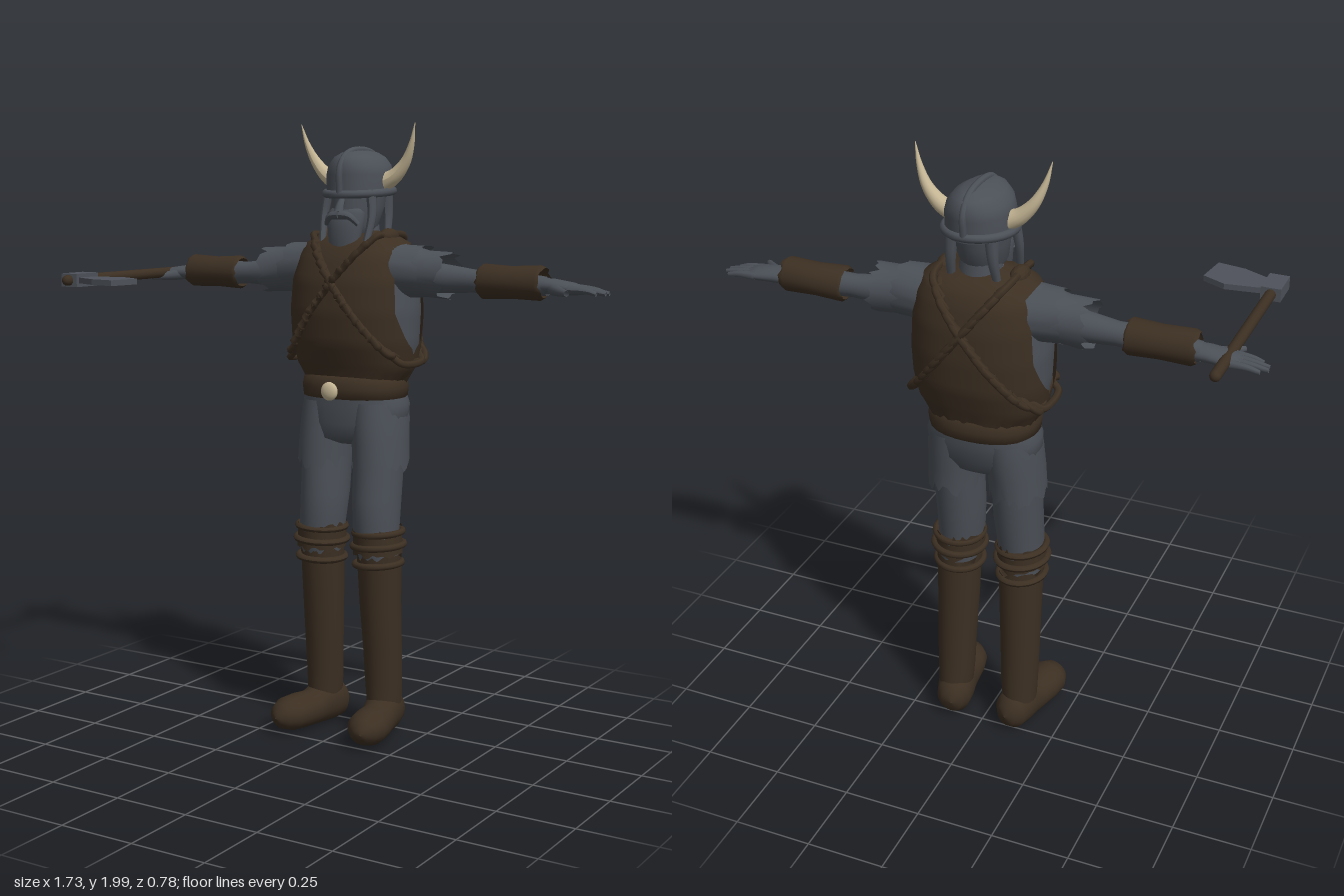
import * as THREE from 'three';

const mat = (name, color) => new THREE.MeshStandardMaterial({ name, color, side: THREE.DoubleSide });

let seed = 7;
const rnd = () => (seed = (seed * 16807) % 2147483647) / 2147483647;

// Rings [y, cx, cz, rx, rz], bottom to top; exponent n squares the section.
// arc(y) limits the angle; jag0 / jag1 tear the lower / upper edge.
function loft(rings, { sides = 28, n = 2, arc = null, jag0 = 0, jag1 = 0 } = {}) {
  const pos = [], idx = [], cols = arc ? sides + 1 : sides;
  rings.forEach(([y, cx, cz, rx, rz], i) => {
    const [a0, a1] = arc ? arc(y) : [0, Math.PI * 2];
    for (let j = 0; j < cols; j++) {
      const a = a0 + (a1 - a0) * j / sides, c = Math.cos(a), s = Math.sin(a);
      const k = Math.pow(Math.abs(c) ** n + Math.abs(s) ** n, -1 / n);
      let d = 0;
      if (i === 0) d = -rnd() * jag0;
      if (i === rings.length - 1) d = rnd() * jag1;
      pos.push(cx + rx * c * k, y + d, cz + rz * s * k);
    }
  });
  for (let i = 0; i < rings.length - 1; i++) {
    for (let j = 0; j < sides; j++) {
      const a = i * cols + j, b = i * cols + (j + 1) % cols;
      idx.push(a, a + cols, b, b, a + cols, b + cols);
    }
  }
  const g = new THREE.BufferGeometry();
  g.setAttribute('position', new THREE.Float32BufferAttribute(pos, 3));
  g.setIndex(idx);
  g.computeVertexNormals();
  return g;
}

// Arm pieces: the loft axis becomes +x, [x, y, z, ry, rz]
const armLoft = (rings, opt) =>
  loft(rings.map(([x, y, z, ry, rz]) => [x, -y, z, ry, rz]), opt).rotateZ(-Math.PI / 2);

const v = (x, y, z) => new THREE.Vector3(x, y, z);

function mirrored(geo) {
  const g = geo.clone().scale(-1, 1, 1), ix = g.index.array;
  for (let i = 0; i < ix.length; i += 3) [ix[i], ix[i + 1]] = [ix[i + 1], ix[i]];
  g.computeVertexNormals();
  return g;
}

// Tapered round limb along a curve
function taper(points, r0, r1, sides = 12, segs = 16) {
  const curve = new THREE.CatmullRomCurve3(points);
  const g = new THREE.TubeGeometry(curve, segs, 1, sides, false), p = g.attributes.position;
  for (let i = 0; i <= segs; i++) {
    const t = i / segs, c = curve.getPointAt(t), r = r0 + (r1 - r0) * t;
    for (let j = 0; j <= sides; j++) {
      const k = i * (sides + 1) + j, q = v(0, 0, 0).fromBufferAttribute(p, k).sub(c).multiplyScalar(r).add(c);
      p.setXYZ(k, q.x, q.y, q.z);
    }
  }
  g.computeVertexNormals();
  return g;
}

// Torso profile: y, rx, front z, back z
const TORSO = [
  [1.18, 0.165, -0.09, -0.33], [1.215, 0.2, -0.075, -0.345], [1.3, 0.216, -0.045, -0.37],
  [1.4, 0.22, -0.036, -0.378], [1.5, 0.213, -0.045, -0.375], [1.57, 0.196, -0.07, -0.36],
  [1.615, 0.175, -0.1, -0.335], [1.645, 0.12, -0.135, -0.295], [1.655, 0.05, -0.18, -0.25],
];
function torsoRing(y) {
  let i = 0;
  while (i < TORSO.length - 2 && y > TORSO[i + 1][0]) i++;
  const A = TORSO[i], B = TORSO[i + 1], t = THREE.MathUtils.clamp((y - A[0]) / (B[0] - A[0]), 0, 1);
  const [rx, f, b] = [1, 2, 3].map(k => A[k] + (B[k] - A[k]) * t);
  return [y, 0, (f + b) / 2, rx, (f - b) / 2];
}

export function createModel() {
  seed = 7;
  const cloth = mat('slate grey', 0x4b5057);
  const leather = mat('dark leather', 0x3c2f22);
  const steel = mat('axe steel', 0x4e525a);
  const bone = mat('horn ivory', 0xc4b594);
  const root = new THREE.Group();
  root.name = 'hornedWarrior';
  const add = (name, geo, m, parent = root) => {
    const mesh = new THREE.Mesh(geo, m);
    mesh.name = name;
    parent.add(mesh);
    return mesh;
  };
  const pair = (name, geo, m) => {
    add(name + 'Left', geo, m);
    add(name + 'Right', mirrored(geo), m);
  };

  // Torso and leather vest with open sides
  const ys = [...Array(25)].map((_, i) => 1.185 + i * 0.0195);
  const rows = ys.map(torsoRing);
  add('torso', loft(rows.map(([y, cx, cz, rx, rz]) => [y, cx, cz, rx * 0.96, rz * 0.96]), { n: 2.3 }), cloth);
  const gap = y => 0.55 * Math.sqrt(THREE.MathUtils.clamp((y - 1.28) / 0.12, 0, 1)) * (y > 1.6 ? 0 : 1);
  add('vestFront', loft(rows, { n: 2.3, sides: 32, jag0: 0.02, arc: y => [gap(y), Math.PI - gap(y)] }), leather);
  add('vestBack', loft(rows, { n: 2.3, sides: 32, jag0: 0.02, arc: y => [Math.PI + gap(y), Math.PI * 2 - gap(y)] }), leather);

  // Twisted straps crossing on chest and back
  for (const s of [1, -1]) {
    for (const phase of [0, Math.PI]) {
      const pts = [], N = 70;
      for (let i = 0; i < N; i++) {
        const u = i / N * 2, front = u < 1, t = front ? u : 2 - u;
        const y = 1.64 - 0.4 * t, [, , cz, rx, rz] = torsoRing(y);
        const x = Math.max(-rx, 0.115 - 0.315 * t);
        const z = rz * Math.pow(Math.max(0, 1 - Math.abs(x / rx) ** 2.3), 1 / 2.3);
        const w = 0.011 * Math.sin(i * 1.35 + phase), o = 0.006 + 0.006 * Math.cos(i * 1.35 + phase);
        pts.push(v(s * (x + w - (t > 0.9 ? o : 0)), y + w, cz + (front ? 1 : -1) * (z + o)));
      }
      add('crossStrap', new THREE.TubeGeometry(new THREE.CatmullRomCurve3(pts, true), 210, 0.012, 6, true), leather);
    }
  }
  pair('shoulderKnot', new THREE.IcosahedronGeometry(0.03, 2).scale(0.9, 0.9, 1.6).translate(0.115, 1.635, -0.21)
    .setIndex([...Array(20 * 9 * 3).keys()]), leather);

  // Belt and buckle
  add('belt', loft([[1.12, 0, -0.2, 0.155, 0.12], [1.123, 0, -0.2, 0.172, 0.138], [1.155, 0, -0.2, 0.176, 0.141],
    [1.185, 0, -0.2, 0.17, 0.135], [1.195, 0, -0.2, 0.15, 0.115]], { n: 2.3 }), leather);
  add('buckle', new THREE.SphereGeometry(0.03, 20, 14).scale(1, 1, 0.5).translate(-0.01, 1.148, -0.054), bone);

  // Trousers: hips, ragged shorts and inner legs
  add('hips', loft([[0.97, 0, -0.19, 0.04, 0.06], [0.99, 0, -0.19, 0.13, 0.1], [1.04, 0, -0.2, 0.178, 0.12],
    [1.1, 0, -0.205, 0.18, 0.127], [1.14, 0, -0.205, 0.165, 0.127]], { n: 2.4 }), cloth);
  pair('raggedShorts', loft([[0.925, 0.104, -0.188, 0.085, 0.112], [0.98, 0.1, -0.192, 0.085, 0.115],
    [1.05, 0.094, -0.2, 0.086, 0.12], [1.11, 0.088, -0.205, 0.085, 0.12]], { jag0: 0.045, sides: 36 }), cloth);
  pair('trouserLeg', loft([[0.6, 0.108, -0.168, 0.064, 0.07], [0.7, 0.102, -0.163, 0.073, 0.085],
    [0.8, 0.098, -0.173, 0.076, 0.094], [0.95, 0.098, -0.188, 0.076, 0.1]]), cloth);

  // Boots with torn cuffs and knee bands
  pair('bootShaft', loft([[0.1, 0.115, -0.2, 0.055, 0.065], [0.18, 0.113, -0.197, 0.061, 0.062],
    [0.3, 0.112, -0.19, 0.064, 0.065], [0.45, 0.109, -0.18, 0.068, 0.07], [0.59, 0.108, -0.172, 0.072, 0.076]],
    { jag1: 0.03 }), leather);
  pair('bootCuff', loft([[0.63, 0.108, -0.165, 0.079, 0.086], [0.655, 0.106, -0.165, 0.078, 0.087],
    [0.67, 0.105, -0.165, 0.077, 0.089]], { jag0: 0.025, jag1: 0.04, sides: 36 }), leather);
  for (const [y, r] of [[0.582, 0.074], [0.643, 0.081], [0.685, 0.076]]) {
    pair('kneeBand', new THREE.TorusGeometry(r, 0.011, 8, 28).rotateX(Math.PI / 2).scale(1, 1, 1.09)
      .rotateZ(0.05).translate(0.108, y, -0.167), leather);
  }
  // Shoe rings run heel to toe; the third value is minus the height
  const shoe = loft([[-0.08, 0, -0.07, 0.002, 0.002], [-0.07, 0, -0.07, 0.035, 0.04], [-0.045, 0, -0.072, 0.055, 0.064],
    [0, 0, -0.078, 0.062, 0.074], [0.04, 0, -0.075, 0.06, 0.071], [0.085, 0, -0.064, 0.06, 0.058],
    [0.14, 0, -0.066, 0.067, 0.058], [0.19, 0, -0.066, 0.065, 0.055], [0.225, 0, -0.065, 0.047, 0.042],
    [0.245, 0, -0.063, 0.022, 0.02], [0.25, 0, -0.063, 0.002, 0.002]]).rotateX(Math.PI / 2);
  pair('shoe', shoe.rotateY(0.2).translate(0.112, 0, -0.21), leather);

  // Arms: torn sleeve, upper arm, bracer
  pair('sleeve', armLoft([[0.15, 1.52, -0.21, 0.095, 0.09], [0.2, 1.527, -0.21, 0.083, 0.085],
    [0.26, 1.522, -0.21, 0.073, 0.073], [0.315, 1.518, -0.21, 0.074, 0.08]], { jag1: 0.04, sides: 32 }), cloth);
  pair('sleeveLayer', armLoft([[0.16, 1.53, -0.21, 0.082, 0.095], [0.23, 1.528, -0.21, 0.081, 0.08]],
    { jag1: 0.04, sides: 32 }), cloth);
  pair('arm', armLoft([[0.2, 1.515, -0.21, 0.055, 0.055], [0.34, 1.508, -0.21, 0.044, 0.045],
    [0.42, 1.505, -0.21, 0.036, 0.037], [0.55, 1.5, -0.21, 0.042, 0.04], [0.67, 1.497, -0.212, 0.028, 0.036]]), cloth);
  pair('bracer', armLoft([[0.452, 1.505, -0.21, 0.047, 0.05], [0.458, 1.505, -0.21, 0.055, 0.058],
    [0.55, 1.505, -0.211, 0.05, 0.055], [0.645, 1.506, -0.212, 0.054, 0.054], [0.652, 1.506, -0.212, 0.046, 0.046]],
    { jag0: 0.008, jag1: 0.012 }), leather);

  // Hands
  pair('palm', armLoft([[0.64, 1.497, -0.212, 0.026, 0.034], [0.69, 1.497, -0.212, 0.024, 0.04],
    [0.75, 1.492, -0.212, 0.02, 0.044], [0.785, 1.488, -0.212, 0.012, 0.04], [0.795, 1.487, -0.212, 0.002, 0.03]]), cloth);
  [0.845, 0.865, 0.862, 0.84].forEach((tip, i) => {
    const z = -0.243 + i * 0.021;
    pair('finger', taper([v(0.75, 1.492, z), v(0.81, 1.489, z), v(tip, 1.481, z)], 0.014, 0.007, 8, 8), cloth);
  });
  pair('thumb', taper([v(0.69, 1.492, -0.195), v(0.735, 1.486, -0.155), v(0.77, 1.484, -0.122)], 0.02, 0.009, 8, 8), cloth);

  // Neck, head, beard and braids
  add('neck', new THREE.CylinderGeometry(0.058, 0.075, 0.16, 20).translate(0, 1.63, -0.225), cloth);
  add('head', loft([[1.61, 0, -0.19, 0.015, 0.03], [1.63, 0, -0.19, 0.045, 0.065], [1.67, 0, -0.2, 0.068, 0.085],
    [1.73, 0, -0.213, 0.08, 0.1], [1.8, 0, -0.222, 0.085, 0.105]]), cloth);
  add('beard', loft([[1.575, 0, -0.115, 0.035, 0.012], [1.6, 0, -0.122, 0.052, 0.028], [1.66, 0, -0.135, 0.06, 0.043],
    [1.71, 0, -0.14, 0.066, 0.04], [1.725, 0, -0.14, 0.05, 0.02]], { jag0: 0.02 }), cloth);
  pair('moustache', taper([v(0.002, 1.705, -0.098), v(0.035, 1.7, -0.1), v(0.058, 1.675, -0.115)], 0.015, 0.008, 8, 8), cloth);
  add('nose', taper([v(0, 1.755, -0.115), v(0, 1.73, -0.1), v(0, 1.712, -0.094)], 0.009, 0.017, 8, 6), cloth);
  pair('braid', taper([v(0.078, 1.78, -0.16), v(0.088, 1.7, -0.15), v(0.08, 1.61, -0.125)], 0.017, 0.011, 8), cloth);
  pair('backHair', taper([v(0.06, 1.78, -0.29), v(0.066, 1.7, -0.29), v(0.072, 1.63, -0.275)], 0.022, 0.012, 8), cloth);

  // Helmet with brim, ridge and horns
  add('helmetDome', loft([[1.765, 0, -0.222, 0.1, 0.123], [1.83, 0, -0.224, 0.099, 0.126], [1.86, 0, -0.225, 0.09, 0.126],
    [1.885, 0, -0.225, 0.069, 0.112], [1.9, 0, -0.226, 0.042, 0.085], [1.908, 0, -0.228, 0.002, 0.02]]), cloth);
  add('helmetBrim', new THREE.TorusGeometry(0.103, 0.012, 10, 36).rotateX(Math.PI / 2).scale(1, 1.1, 1.18)
    .rotateX(0.06).translate(0, 1.775, -0.222), cloth);
  add('helmetRidge', new THREE.TubeGeometry(new THREE.CatmullRomCurve3([v(0, 1.77, -0.098), v(0, 1.85, -0.1),
    v(0, 1.893, -0.14), v(0, 1.908, -0.225), v(0, 1.893, -0.31), v(0, 1.85, -0.348), v(0, 1.78, -0.345)]), 32, 0.011, 8), cloth);
  pair('horn', taper([v(0.085, 1.805, -0.228), v(0.125, 1.825, -0.228), v(0.165, 1.868, -0.225),
    v(0.193, 1.925, -0.215), v(0.21, 1.99, -0.205)], 0.03, 0.001, 14, 24), bone);

  // Axe lying across the right hand, blade turned inward
  const axe = new THREE.Group();
  axe.name = 'axe';
  axe.position.set(-0.745, 1.497, 0);
  root.add(axe);
  add('axeHandle', new THREE.CapsuleGeometry(0.017, 0.68, 6, 14).rotateX(Math.PI / 2).translate(0, 0, 0.003), leather, axe);
  add('axeSocket', new THREE.BoxGeometry(0.063, 0.042, 0.105).translate(0, 0, 0.282), steel, axe);
  const blade = new THREE.Shape([[0.03, 0.245], [0.145, 0.23], [0.22, 0.265], [0.205, 0.376], [0.115, 0.362], [0.03, 0.322]]
    .map(([x, z]) => new THREE.Vector2(x, z)));
  add('axeBlade', new THREE.ExtrudeGeometry(blade, { depth: 0.018, bevelEnabled: false })
    .rotateX(Math.PI / 2).translate(0, 0.009, 0), steel, axe);
  return root;
}
